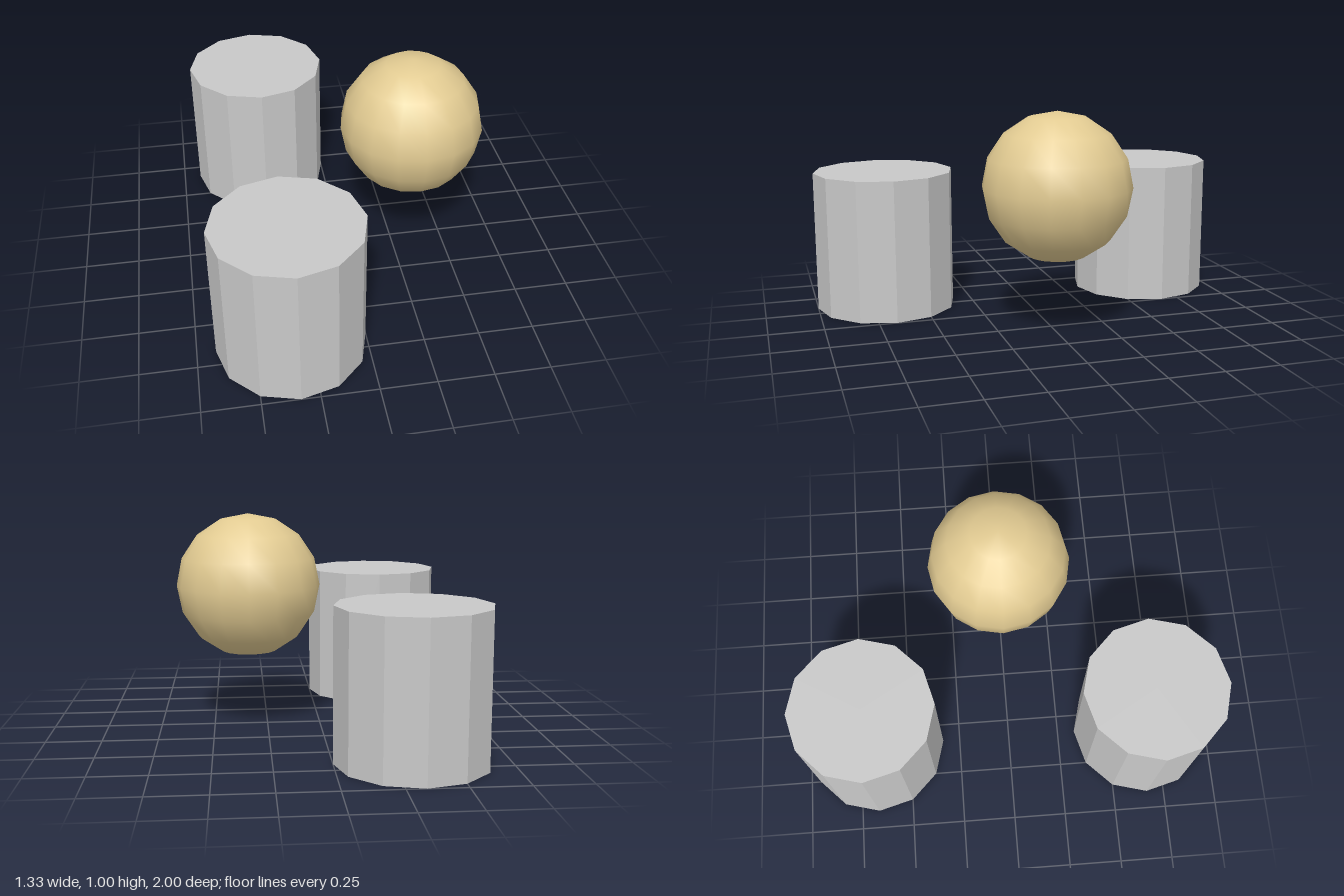
import * as THREE from 'three';

export function createModel() {
  const model = new THREE.Group();
  const grey = new THREE.MeshStandardMaterial({ color: 0xc8c8c8, flatShading: true });
  grey.name = 'light grey';
  const tan = new THREE.MeshStandardMaterial({ color: 0xe2cb92 });
  tan.name = 'sandy tan';

  const R = 1 / 3;

  // Two twelve-sided drums, one at the front and one at the back
  const drumGeometry = new THREE.CylinderGeometry(R, R, 2 * R, 12);
  for (const [name, side] of [['frontCylinder', 1], ['backCylinder', -1]]) {
    const drum = new THREE.Mesh(drumGeometry, grey);
    drum.name = name;
    drum.position.set(-R, R, side * 2 * R);
    model.add(drum);
  }

  // Smooth ball floating between them on the left
  const ball = new THREE.Mesh(new THREE.SphereGeometry(R, 16, 8), tan);
  ball.name = 'ball';
  ball.position.set(R, 2 * R, 0);
  model.add(ball);

  return model;
}
